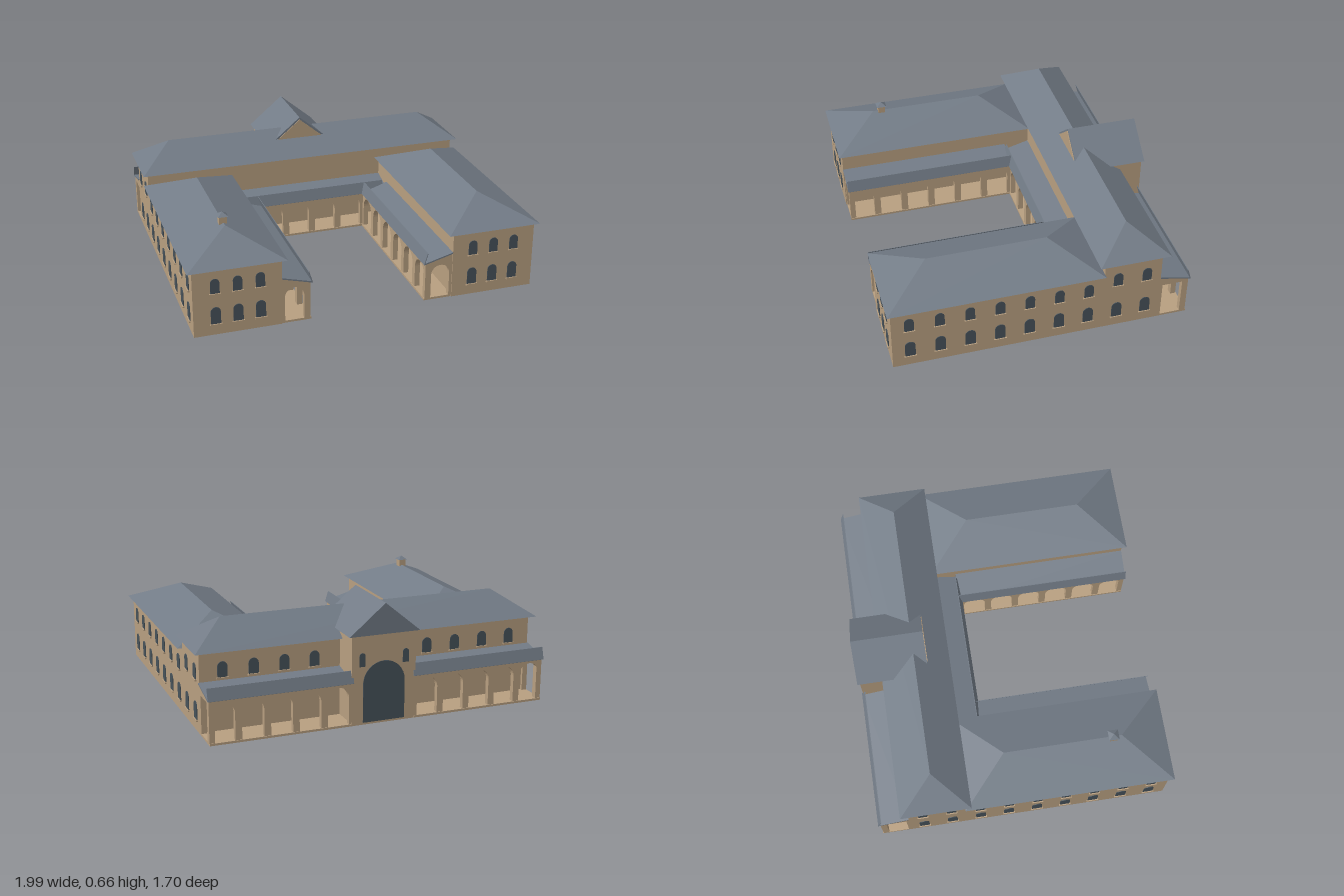
import * as THREE from 'three';
import { ConvexGeometry } from 'three/addons/geometries/ConvexGeometry.js';

const mat = (name, color) => {
  const m = new THREE.MeshStandardMaterial({ color });
  m.name = name;
  return m;
};

export function createModel() {
  const wall = mat('sandstone', 0xb89f80);
  const roof = mat('slate', 0x727b86);
  const glass = mat('darkGlass', 0x47525a);
  const model = new THREE.Group();
  model.name = 'courtyardBuilding';

  const add = (parent, name, geo, material, x = 0, y = 0, z = 0) => {
    const m = new THREE.Mesh(geo, material);
    m.name = name;
    m.position.set(x, y, z);
    parent.add(m);
    return m;
  };

  // Box given by its limits
  const block = (parent, name, material, x0, x1, y0, y1, z0, z1) =>
    add(parent, name, new THREE.BoxGeometry(x1 - x0, y1 - y0, z1 - z0), material,
      (x0 + x1) / 2, (y0 + y1) / 2, (z0 + z1) / 2);

  // Round-headed outline
  const arch = (path, cx, y0, w, top) => {
    const r = w / 2;
    path.moveTo(cx - r, y0);
    path.lineTo(cx + r, y0);
    path.lineTo(cx + r, top - r);
    path.absarc(cx, top - r, r, 0, Math.PI, false);
    path.lineTo(cx - r, y0);
    return path;
  };

  const extrude = (shape, depth) =>
    new THREE.ExtrudeGeometry(shape, { depth, bevelEnabled: false, curveSegments: 8 });
  const polygon = pts => new THREE.Shape(pts.map(p => new THREE.Vector2(...p)));
  // Profile of (-z, y) points swept along x from x0
  const sweep = (shape, x0, length) => extrude(shape, length).rotateY(Math.PI / 2).translate(x0, 0, 0);

  // Hip roof with its ridge along x or z
  const hipRoof = (name, x0, x1, z0, z1, y0, y1, ridge) => {
    const pts = [];
    for (const x of [x0, x1]) for (const z of [z0, z1]) pts.push(new THREE.Vector3(x, y0, z));
    for (const [x, z] of ridge) pts.push(new THREE.Vector3(x, y1, z));
    return add(model, name, new ConvexGeometry(pts), roof);
  };

  // Arched window with a sill, turned to face the given angle
  const windowAt = (x, y, z, angle, w = 0.055, h = 0.09, sill = true) => {
    const g = new THREE.Group();
    g.name = 'window';
    add(g, 'pane', extrude(arch(new THREE.Shape(), 0, 0, w, h), 0.004), glass);
    if (sill) block(g, 'sill', wall, -w * 0.6, w * 0.6, -0.008, 0, 0, 0.01);
    g.position.set(x, y, z);
    g.rotation.y = angle;
    model.add(g);
  };

  // Arcade with lean-to roof; local z = 0 is its outer face
  const arcade = (name, { length, n, depth, edge, top, archTop, ends = [], square }) => {
    const g = new THREE.Group();
    g.name = name;
    const half = length / 2, pitch = length / n, t = 0.03, floor = 0.012;
    const front = polygon([[-half, 0], [half, 0], [half, edge], [-half, edge]]);
    for (let i = 0; i < n; i++) {
      front.holes.push(arch(new THREE.Path(), -half + pitch * (i + 0.5), floor, pitch * 0.77, archTop));
    }
    add(g, 'archedWall', extrude(front, t), wall, 0, 0, -t);
    block(g, 'floor', wall, -half, half, 0, floor, -depth, 0.004);
    // End walls with an arched or square opening
    for (const s of ends) {
      const end = polygon([[0, 0], [depth, 0], [depth, top - 0.004], [0, edge - 0.002]]);
      const w = depth - 0.05, c = 0.034 + w / 2;
      end.holes.push(square
        ? new THREE.Path([[c - w / 2, floor], [c + w / 2, floor], [c + w / 2, archTop], [c - w / 2, archTop]]
          .map(p => new THREE.Vector2(...p)))
        : arch(new THREE.Path(), c, floor, w, archTop));
      add(g, 'endWall', sweep(end, s > 0 ? half - t : -half, t), wall);
    }
    const over = 0.006;
    add(g, 'leanToRoof', sweep(polygon([[-0.01, edge - 0.006], [depth, top - 0.008], [depth, top], [-0.01, edge + 0.002]]),
      -half - over, length + 2 * over), roof);
    // Raised sloping edge board
    add(g, 'edgeBoard', sweep(polygon([[-0.012, edge - 0.004], [-0.008, edge - 0.004], [0.012, edge + 0.062], [0.008, edge + 0.062]]),
      -half - over, length + 2 * over), roof);
    model.add(g);
    return g;
  };

  // Main rear range
  block(model, 'mainRange', wall, -0.965, 0.965, 0, 0.45, -0.67, -0.345);
  hipRoof('mainRoof', -0.995, 0.995, -0.71, -0.31, 0.45, 0.585, [[-0.8, -0.51], [0.8, -0.51]]);

  for (const s of [-1, 1]) {
    // Side wings
    block(model, 'wing', wall, s > 0 ? 0.485 : -0.965, s > 0 ? 0.965 : -0.485, 0, 0.38, -0.36, 0.825);
    const [a, b] = [0.455 * s, 0.992 * s].sort((p, q) => p - q);
    hipRoof('wingRoof', a, b, -0.345, 0.845, 0.38, 0.503, [[0.7235 * s, -0.09], [0.7235 * s, 0.58]]);

    // Outer side windows
    for (let i = 0; i < 9; i++) {
      const z = 0.728 - i * 0.1645;
      windowAt(0.965 * s, 0.065, z, s * Math.PI / 2, 0.057, 0.097);
      windowAt(0.965 * s, i < 7 ? 0.243 : 0.288, z, s * Math.PI / 2, 0.052, 0.084);
    }
    // Front windows
    for (const x of [0.602, 0.724, 0.845]) {
      windowAt(x * s, 0.065, 0.825, 0, 0.054, 0.097);
      windowAt(x * s, 0.243, 0.825, 0, 0.05, 0.084);
    }
    // Rear upper windows
    for (let i = 0; i < 4; i++) windowAt((0.33 + i * 0.17) * s, 0.305, -0.67, Math.PI, 0.055, 0.085);

    // Courtyard side arcades
    const side = arcade('sideArcade', { length: 1.01, n: 6, depth: 0.157, edge: 0.225, top: 0.272, archTop: 0.205, ends: [s] });
    side.position.set(0.328 * s, 0, 0.315);
    side.rotation.y = -s * Math.PI / 2;

    // Rear arcades
    const rear = arcade('rearArcade', { length: 0.785, n: 5, depth: 0.165, edge: 0.245, top: 0.288, archTop: 0.224, ends: [-s], square: true });
    rear.position.set(0.5725 * s, 0, -0.835);
    rear.rotation.y = Math.PI;

    // Gatehouse slit windows
    windowAt(0.125 * s, 0.325, -0.838, Math.PI, 0.034, 0.075, false);
  }

  // Courtyard rear arcade
  const court = arcade('courtArcade', { length: 0.66, n: 4, depth: 0.155, edge: 0.225, top: 0.272, archTop: 0.205 });
  court.position.z = -0.19;
  for (const s of [-1, 1]) {
    // Roof and floor carried into the corners
    add(court, 'cornerRoof', sweep(polygon([[-0.01, 0.219], [0.155, 0.264], [0.155, 0.272], [-0.01, 0.227]]),
      s > 0 ? 0.33 : -0.486, 0.156), roof);
    add(court, 'cornerBoard', sweep(polygon([[-0.012, 0.221], [-0.008, 0.221], [0.012, 0.287], [0.008, 0.287]]),
      s > 0 ? 0.33 : -0.455, 0.125), roof);
    block(court, 'cornerFloor', wall, s > 0 ? 0.33 : -0.486, s > 0 ? 0.486 : -0.33, 0, 0.012, -0.155, 0);
  }

  // Gatehouse with cross-gabled roof
  block(model, 'gatehouse', wall, -0.185, 0.185, 0, 0.495, -0.838, -0.6);
  add(model, 'gateRoof', extrude(polygon([[-0.203, 0.495], [0.203, 0.495], [0, 0.664]]), 0.41), roof, 0, 0, -0.85);
  add(model, 'courtGable', extrude(polygon([[-0.175, 0.505], [0.175, 0.505], [0, 0.65]]), 0.004), wall, 0, 0, -0.44);
  windowAt(0, 0.012, -0.838, Math.PI, 0.24, 0.335, false);

  // Chimney on the right wing
  block(model, 'chimney', wall, -0.747, -0.705, 0.47, 0.54, 0.508, 0.55);
  hipRoof('chimneyCap', -0.755, -0.697, 0.5, 0.558, 0.538, 0.56, [[-0.726, 0.529]]);

  return model;
}
